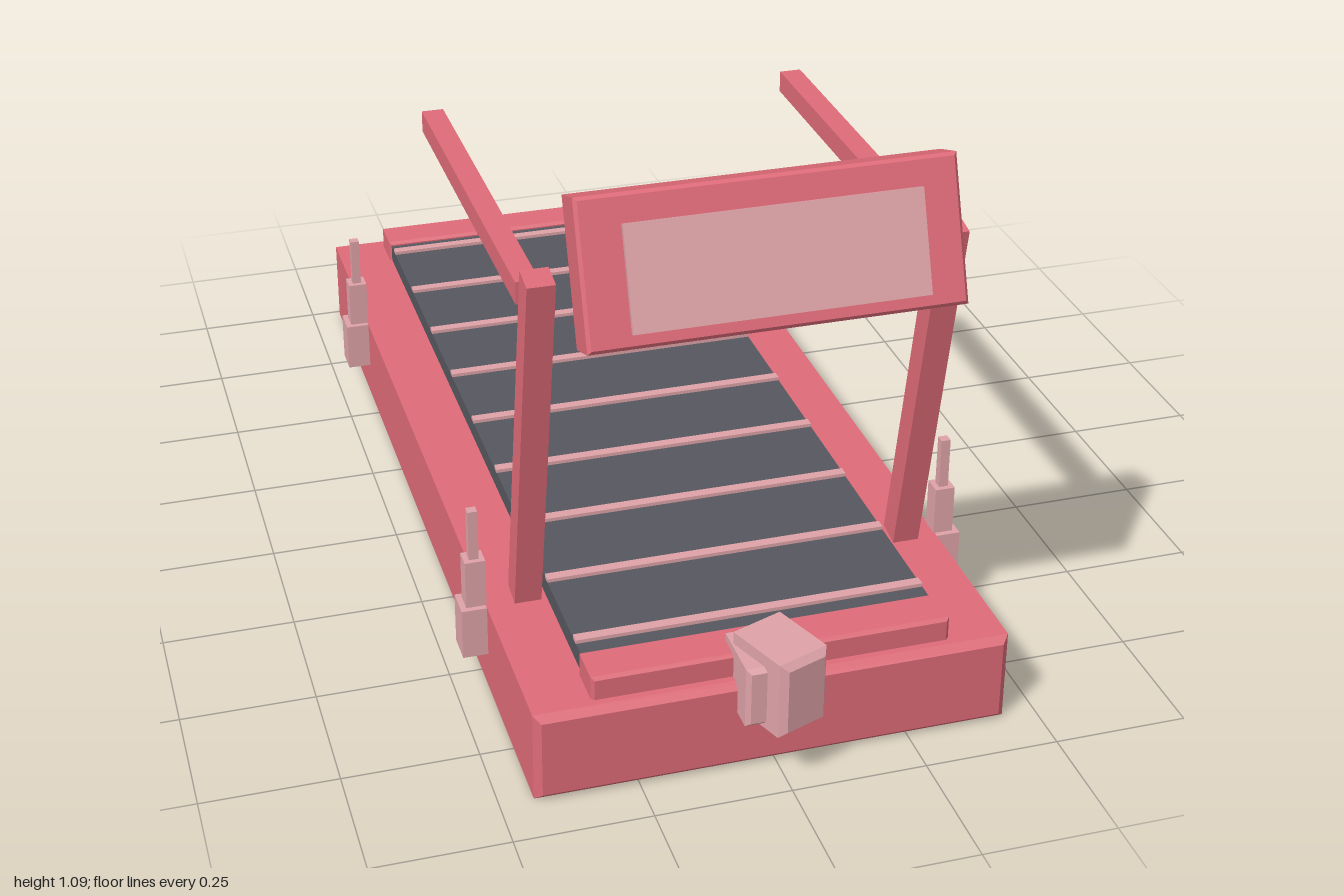
import * as THREE from 'three';

const mat = (name, color) => {
  const m = new THREE.MeshStandardMaterial({ color });
  m.name = name;
  return m;
};

// Box with a single flat chamfer on every edge, centred on the origin
function chamferBox(w, h, d, c) {
  const x = w / 2 - c, y = h / 2 - c;
  const s = new THREE.Shape([
    new THREE.Vector2(-x, -y), new THREE.Vector2(x, -y),
    new THREE.Vector2(x, y), new THREE.Vector2(-x, y),
  ]);
  const g = new THREE.ExtrudeGeometry(s, {
    depth: d - 2 * c, bevelEnabled: true, bevelSize: c, bevelThickness: c, bevelSegments: 1,
  });
  return g.translate(0, 0, -d / 2 + c);
}

export function createModel() {
  const root = new THREE.Group();
  root.name = 'treadmill';
  const red = mat('coral red', 0xde6b78);
  const pink = mat('dusty pink', 0xdea3a8);
  const dark = mat('charcoal', 0x55575f);

  const add = (name, geo, material, x, y, z, parent = root) => {
    const m = new THREE.Mesh(geo, material);
    m.name = name;
    m.position.set(x, y, z);
    parent.add(m);
    return m;
  };
  const box = (w, h, d) => new THREE.BoxGeometry(w, h, d);

  // Deck, belt and roller covers
  add('base', chamferBox(0.876, 0.176, 1.91, 0.013), red, 0, 0.088, -0.045);
  add('belt', box(0.65, 0.05, 1.69), dark, 0, 0.187, -0.04);
  add('rearRollerCover', chamferBox(0.66, 0.06, 0.084, 0.006), red, 0, 0.191, -0.924);
  add('frontRollerCover', chamferBox(0.66, 0.06, 0.084, 0.006), red, 0, 0.191, 0.842);

  // Raised stripes across the belt
  for (let i = 0; i < 9; i++) {
    add('beltStripe', box(0.65, 0.008, 0.02), pink, 0, 0.215, -0.846 + i * 0.2);
  }

  for (const side of [-1, 1]) {
    // Leaning post and handrail
    const post = add('post', box(0.05, 0.725, 0.05), red, side * 0.366, 0.55, 0.628);
    post.rotation.x = 0.2;
    add('handrail', box(0.042, 0.042, 0.76), red, side * 0.366, 0.842, 0.245);

    // Stepped levelling columns
    for (const z of [0.53, -0.615]) {
      const leveller = new THREE.Group();
      leveller.name = 'leveller';
      leveller.position.set(side * 0.455, 0, z);
      root.add(leveller);
      add('levellerFoot', box(0.06, 0.1, 0.06), pink, 0, 0.125, 0, leveller);
      add('levellerSleeve', box(0.038, 0.096, 0.038), pink, 0, 0.222, 0, leveller);
      add('levellerRod', box(0.018, 0.1, 0.018), pink, 0, 0.32, 0, leveller);
    }
  }

  // Tilted console with a thin floating screen
  const consoleUnit = new THREE.Group();
  consoleUnit.name = 'console';
  consoleUnit.position.set(0, 0.953, 0.798);
  consoleUnit.rotation.x = -0.35;
  root.add(consoleUnit);
  add('consoleBody', chamferBox(0.658, 0.256, 0.082, 0.006), red, 0, 0, 0, consoleUnit);
  add('screen', box(0.514, 0.18, 0.009), pink, 0, -0.011, 0.058, consoleUnit);

  // Motor housing turned at the front edge
  const motor = add('motorHousing', chamferBox(0.104, 0.15, 0.15, 0.012), pink, 0, 0.185, 0.912);
  motor.rotation.y = 0.36;
  add('motorBracket', chamferBox(0.06, 0.118, 0.13, 0.008), pink, -0.044, 0.177, 0.895);

  return root;
}
